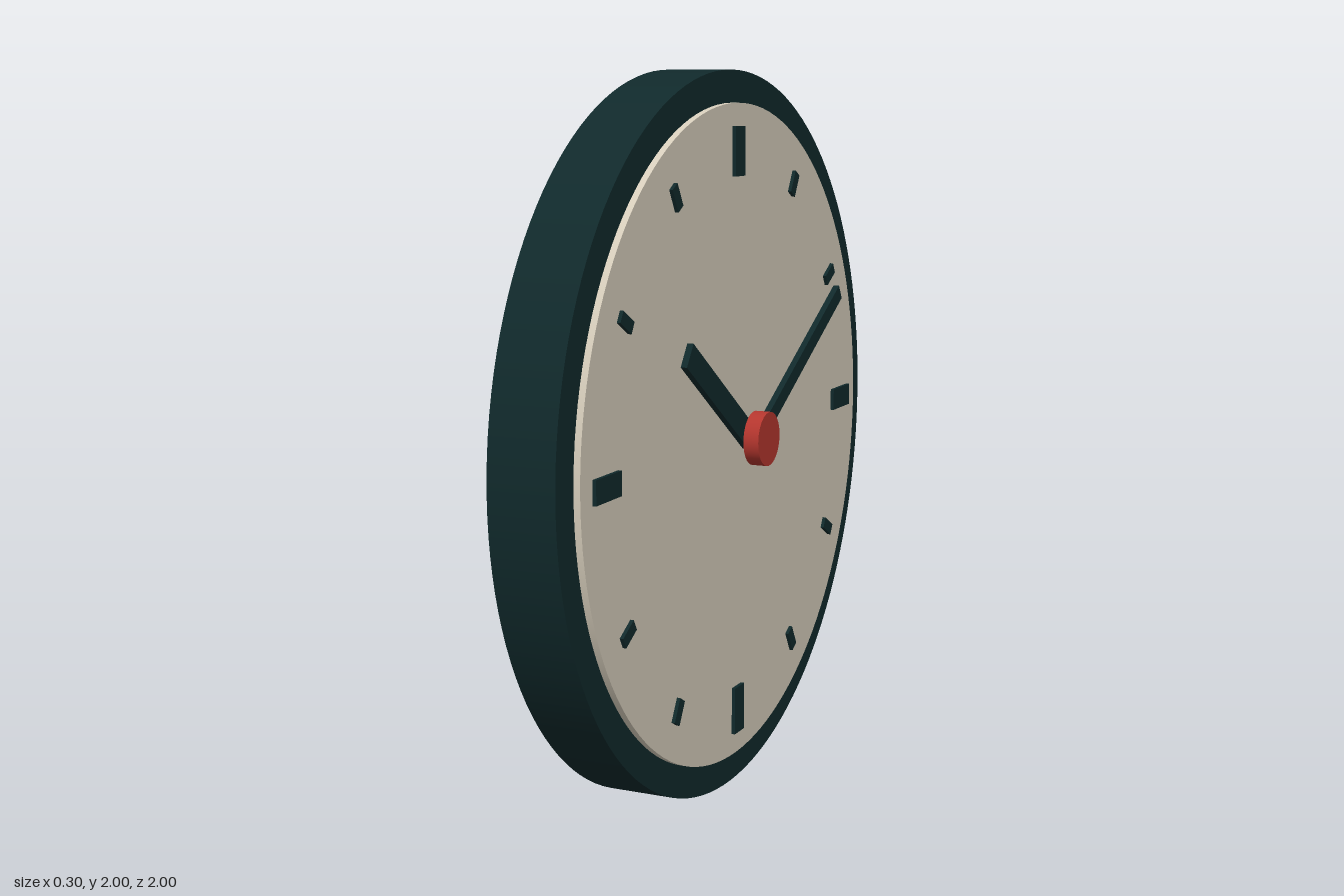
import * as THREE from 'three';

export function createModel() {
  const material = (name, color) => {
    const m = new THREE.MeshStandardMaterial({ color });
    m.name = name;
    return m;
  };
  const dark = material('dark teal', 0x10292b);
  const cream = material('cream', 0xd6cdbb);
  const red = material('red', 0xb4362e);

  // The clock is built facing +z, then turned to face +x.
  const clock = new THREE.Group();
  clock.name = 'wallClock';

  // Round plate between two depths
  const disc = (name, radius, back, front, mat, sides = 128) => {
    const geometry = new THREE.CylinderGeometry(radius, radius, front - back, sides);
    geometry.rotateX(Math.PI / 2);
    const mesh = new THREE.Mesh(geometry, mat);
    mesh.name = name;
    mesh.position.z = (back + front) / 2;
    clock.add(mesh);
  };

  // Bar running outward from radius r0 to r1, at a clockwise angle from twelve
  const bar = (name, degrees, r0, r1, width, back, front) => {
    const geometry = new THREE.BoxGeometry(width, r1 - r0, front - back);
    geometry.translate(0, (r0 + r1) / 2, (back + front) / 2);
    const mesh = new THREE.Mesh(geometry, dark);
    mesh.name = name;
    mesh.rotation.z = -THREE.MathUtils.degToRad(degrees);
    clock.add(mesh);
  };

  disc('case', 1, -0.15, 0.035, dark);
  disc('dial', 0.912, 0.03, 0.053, cream);

  // Hour marks, larger at each quarter
  for (let hour = 0; hour < 12; hour++) {
    const quarter = hour % 3 === 0;
    const half = quarter ? 0.067 : 0.034;
    bar(quarter ? 'quarterMark' : 'hourMark', hour * 30,
      0.783 - half, 0.783 + half, quarter ? 0.064 : 0.033, 0.045, 0.063);
  }

  // Hands at ten past ten, and the centre cap
  bar('hourHand', 305, 0, 0.483, 0.07, 0.08, 0.098);
  bar('minuteHand', 60, 0, 0.695, 0.045, 0.107, 0.125);
  disc('centreCap', 0.075, 0.106, 0.15, red, 48);

  clock.rotation.y = Math.PI / 2;
  clock.position.y = 1;
  const model = new THREE.Group();
  model.name = 'clockModel';
  model.add(clock);
  return model;
}
